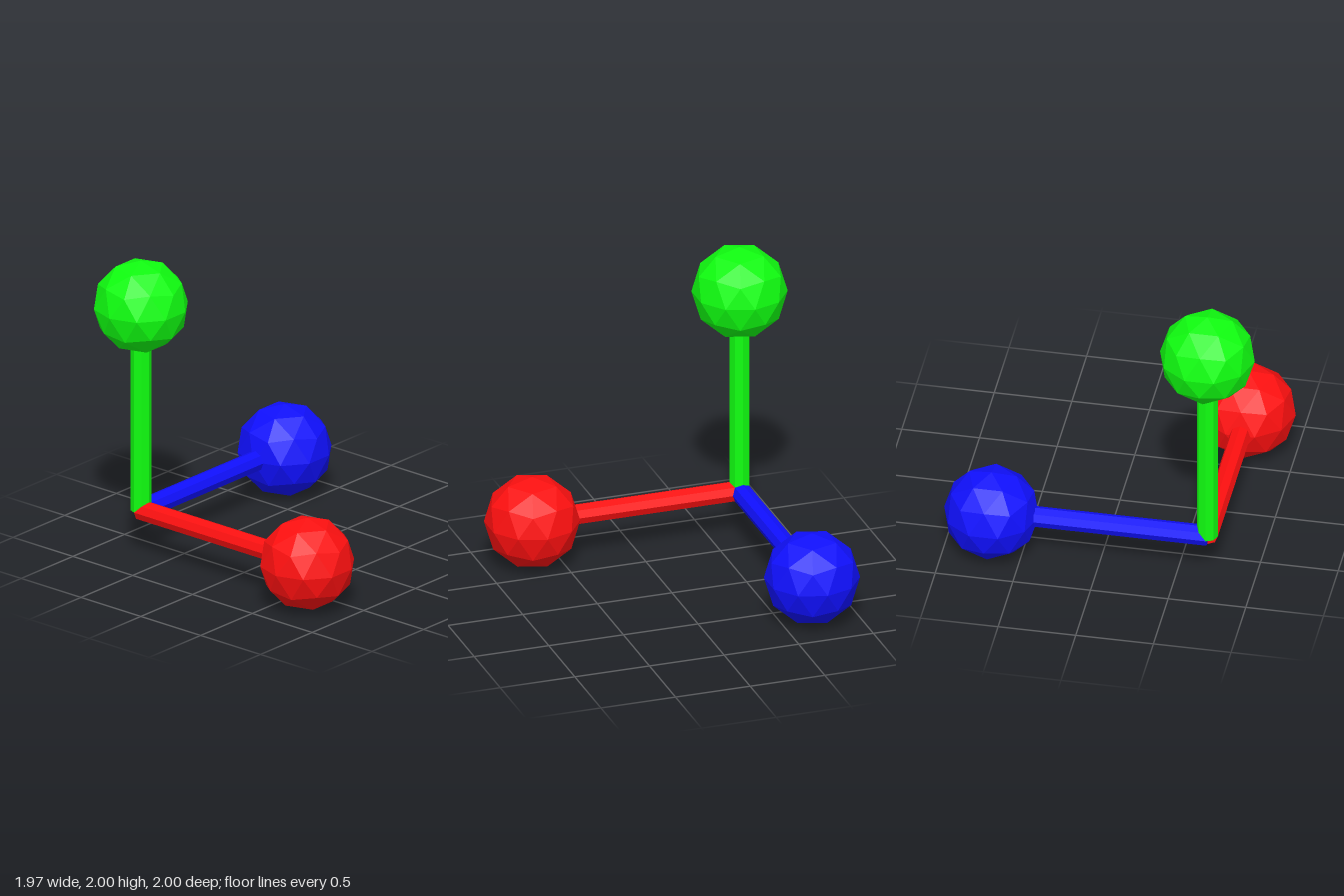
import * as THREE from 'three';

const BALL_RADIUS = 0.305;
const BAR_RADIUS = 0.067;
const LENGTH = 1.39;

// Faceted ball with a corner pointing straight up
function makeBall(material) {
  const geometry = new THREE.IcosahedronGeometry(BALL_RADIUS, 1);
  geometry.rotateZ(-Math.atan(2 / (1 + Math.sqrt(5))));
  return new THREE.Mesh(geometry, material);
}

// Eight-sided bar running from the shared corner along a direction
function makeBar(direction, material) {
  const geometry = new THREE.CylinderGeometry(BAR_RADIUS, BAR_RADIUS, LENGTH, 8);
  geometry.translate(0, LENGTH / 2, 0);
  const bar = new THREE.Mesh(geometry, material);
  bar.quaternion.setFromUnitVectors(new THREE.Vector3(0, 1, 0), direction);
  return bar;
}

export function createModel() {
  const model = new THREE.Group();
  model.name = 'axisMarker';

  // Three arms meeting at one corner, each with a ball at its end
  const arms = [
    { name: 'side', direction: new THREE.Vector3(1, 0, 0), color: 0xff1010 },
    { name: 'upright', direction: new THREE.Vector3(0, 1, 0), color: 0x10ff10 },
    { name: 'rear', direction: new THREE.Vector3(0, 0, -1), color: 0x1010ff },
  ];
  for (const { name, direction, color } of arms) {
    const material = new THREE.MeshStandardMaterial({ color, flatShading: true });
    const arm = new THREE.Group();
    arm.name = `${name}Arm`;

    const bar = makeBar(direction, material);
    bar.name = `${name}Bar`;

    const ball = makeBall(material);
    ball.name = `${name}Ball`;
    ball.position.copy(direction).multiplyScalar(LENGTH);

    arm.add(bar, ball);
    model.add(arm);
  }

  // Place the shared corner so the whole is centred and stands on the ground
  for (const arm of model.children) arm.position.set(-LENGTH / 2, BALL_RADIUS, LENGTH / 2);
  return model;
}
